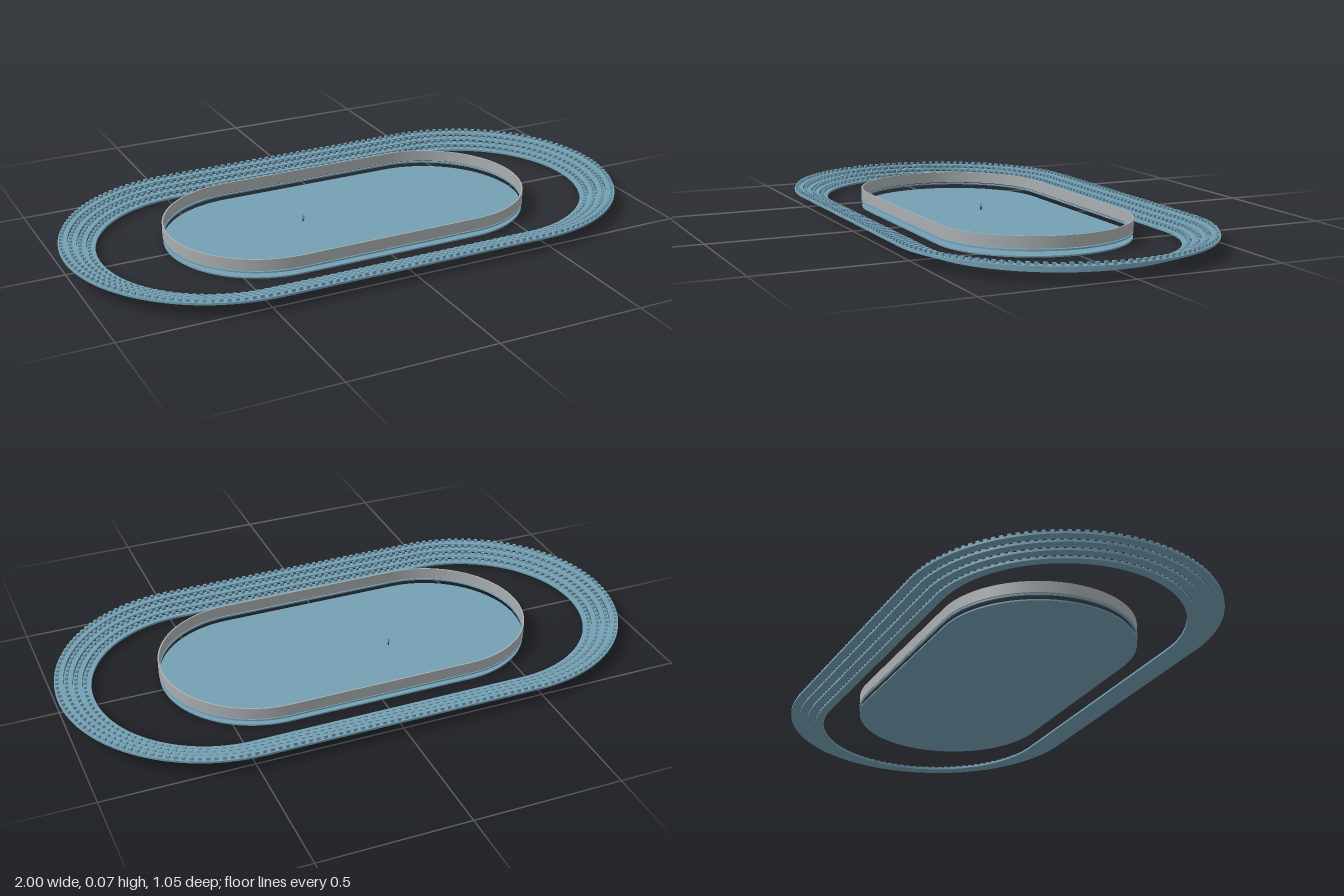
import * as THREE from 'three';
import { mergeGeometries } from 'three/addons/utils/BufferGeometryUtils.js';

const mat = (name, color) => {
  const m = new THREE.MeshStandardMaterial({ color });
  m.name = name;
  return m;
};
const blue = mat('ice blue', 0x74a0b4);
const grey = mat('barrier grey', 0xa9aeb0);
const dark = mat('dark clothing', 0x35424a);
const tan = mat('skin tan', 0xb98d6c);

// Oval outline: two straights of half length s joined by half circles of radius r
function oval(PathType, s, r) {
  const p = new PathType();
  p.absarc(s, 0, r, -Math.PI / 2, Math.PI / 2, false);
  p.absarc(-s, 0, r, Math.PI / 2, Math.PI * 1.5, false);
  p.closePath();
  return p;
}

// Flat oval slab, or an oval ring when an inner radius is given
function ovalSlab(name, s, outer, inner, y0, y1, material) {
  const shape = oval(THREE.Shape, s, outer);
  if (inner > 0) shape.holes.push(oval(THREE.Path, s, inner));
  const g = new THREE.ExtrudeGeometry(shape, { depth: y1 - y0, bevelEnabled: false, curveSegments: 40 });
  g.rotateX(-Math.PI / 2).translate(0, y0, 0);
  const mesh = new THREE.Mesh(g, material);
  mesh.name = name;
  return mesh;
}

// Point and heading at distance d along an oval
function alongOval(s, r, d) {
  const arc = Math.PI * r, line = 2 * s;
  if (d < line) return [-s + d, r, 0];
  d -= line;
  if (d < arc) { const a = d / r; return [s + Math.sin(a) * r, Math.cos(a) * r, a]; }
  d -= arc;
  if (d < line) return [s - d, -r, Math.PI];
  const a = (d - line) / r;
  return [-s - Math.sin(a) * r, -Math.cos(a) * r, Math.PI + a];
}

// One row of seats around a tier
function seatRow(s, r, y) {
  const length = 4 * s + 2 * Math.PI * r, count = Math.round(length / 0.025), seats = [];
  for (let i = 0; i < count; i++) {
    const [x, z, a] = alongOval(s, r, (i + 0.5) * length / count);
    seats.push(new THREE.BoxGeometry(0.012, 0.01, 0.01).rotateY(a).translate(x, y + 0.005, z));
  }
  const mesh = new THREE.Mesh(mergeGeometries(seats), blue);
  mesh.name = 'seatRow';
  return mesh;
}

// Tiny skater standing on the ice
function skater() {
  const g = new THREE.Group();
  g.name = 'skater';
  const add = (name, geo, material, x, y, z, rz = 0) => {
    const m = new THREE.Mesh(geo, material);
    m.name = name;
    m.position.set(x, y, z);
    m.rotation.z = rz;
    g.add(m);
  };
  for (const side of [-1, 1]) {
    add('leg', new THREE.CylinderGeometry(0.0013, 0.0013, 0.013, 6), dark, side * 0.002, 0.0065, 0, side * 0.15);
    add('arm', new THREE.CylinderGeometry(0.001, 0.001, 0.01, 6), blue, side * 0.004, 0.017, 0, side * 0.4);
  }
  add('torso', new THREE.BoxGeometry(0.006, 0.01, 0.004), blue, 0, 0.017, 0);
  add('head', new THREE.SphereGeometry(0.0025, 8, 6), tan, 0, 0.0245, 0);
  add('stick', new THREE.BoxGeometry(0.001, 0.017, 0.001), tan, 0.007, 0.008, 0.002, 0.35);
  g.position.set(-0.15, 0.005, -0.035);
  g.rotation.y = 0.7;
  return g;
}

export function createModel() {
  const model = new THREE.Group();
  model.name = 'iceRink';

  // Ice sheet and the raised barrier around it
  model.add(ovalSlab('ice', 0.32, 0.33, 0, 0, 0.005, blue));
  model.add(ovalSlab('lowerRail', 0.32, 0.332, 0.326, 0.02, 0.025, blue));
  model.add(ovalSlab('barrier', 0.32, 0.332, 0.327, 0.028, 0.067, grey));

  // Four rising seating tiers
  const stand = new THREE.Group();
  stand.name = 'stand';
  for (let i = 0; i < 4; i++) {
    const inner = 0.405 + i * 0.03, top = 0.017 + i * 0.0104;
    stand.add(ovalSlab('tier', 0.475, inner + 0.03, inner, top - 0.007, top, blue));
    stand.add(seatRow(0.475, inner + 0.02, top));
  }
  model.add(stand);

  model.add(skater());
  return model;
}
